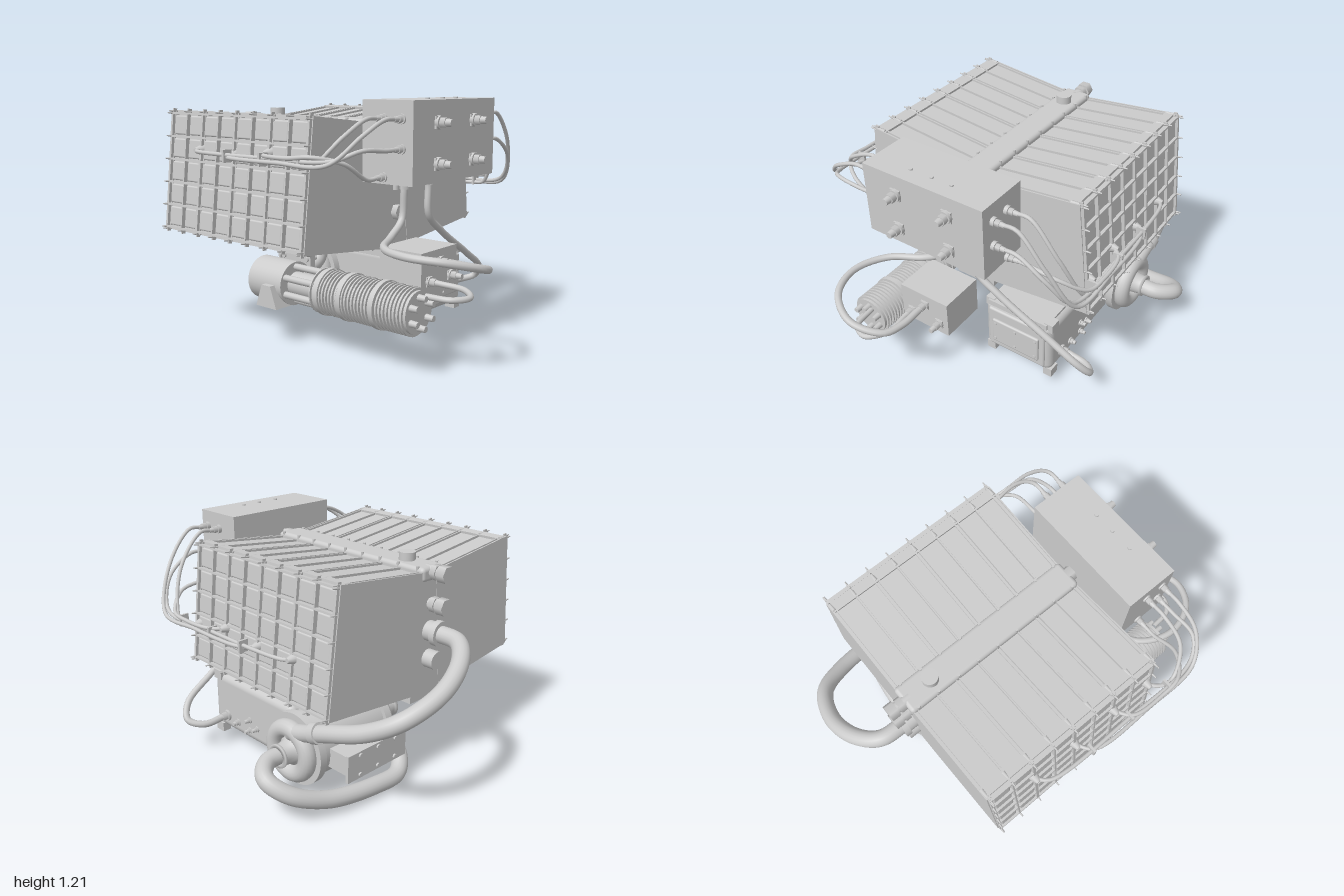
import * as THREE from 'three';
import { RoundedBoxGeometry } from 'three/addons/geometries/RoundedBoxGeometry.js';

const mat = new THREE.MeshStandardMaterial({ color: 0xcccccc });
const V = (p) => new THREE.Vector3(...p);

function add(parent, name, geo, pos = [0, 0, 0]) {
  const m = new THREE.Mesh(geo, mat);
  m.name = name;
  m.position.set(...pos);
  parent.add(m);
  return m;
}
const box = (p, name, size, pos) => add(p, name, new THREE.BoxGeometry(...size), pos);
const rbox = (p, name, size, pos, r) => add(p, name, new RoundedBoxGeometry(...size, 3, r), pos);

// cylinder between two points, r0 at the start and r1 at the end
function rod(p, name, a, b, r0, r1 = r0, seg = 24) {
  const A = V(a), B = V(b), d = B.clone().sub(A);
  const m = add(p, name, new THREE.CylinderGeometry(r1, r0, d.length(), seg));
  m.position.copy(A).add(B).multiplyScalar(0.5);
  m.quaternion.setFromUnitVectors(new THREE.Vector3(0, 1, 0), d.normalize());
  return m;
}
function hose(p, name, pts, r, seg = 64) {
  const curve = new THREE.CatmullRomCurve3(pts.map(V), false, 'centripetal');
  return add(p, name, new THREE.TubeGeometry(curve, seg, r, r > 0.03 ? 18 : 10));
}
// stepped cable fitting standing on a surface, pointing along dir
function gland(p, name, pos, dir, r, len) {
  const g = new THREE.Group();
  g.name = name;
  const at = (t) => pos.map((v, i) => v + dir[i] * len * t);
  rod(g, 'flange', at(-0.1), at(0.2), r * 1.25, r * 1.25, 16);
  rod(g, 'hexNut', at(0.2), at(0.6), r, r, 6);
  rod(g, 'sleeve', at(0.6), at(1), r * 0.75, r * 0.65, 12);
  p.add(g);
}

// one leaning cell stack: local z points outward, y up
function cellStack(name, turn) {
  const outer = new THREE.Group(), s = new THREE.Group();
  outer.name = name;
  outer.position.set(-0.16, 0, 0.055);
  outer.rotation.y = turn;
  s.position.set(0, 0.47, 0.095);
  s.rotation.x = -0.11;
  outer.add(s);
  const W = 0.96, H = 0.6, D = 0.565, cw = W / 8, rh = 0.58 / 5;
  box(s, 'core', [W - 0.02, H - 0.03, D - 0.02], [0, H / 2, D / 2]);
  for (let i = 0; i < 8; i++) {
    const x = -W / 2 + cw * (i + 0.5);
    box(s, 'cellModule', [cw - 0.014, H - 0.012, D - 0.01], [x, H / 2, D / 2]);
    for (let j = 0; j < 5; j++)
      rbox(s, 'cellEnd', [cw - 0.026, rh - 0.02, 0.02], [x, 0.01 + rh * (j + 0.5), D - 0.004], 0.008);
  }
  // column ribs, with rails running along the top and bottom
  for (let i = 0; i <= 8; i++) {
    const x = -W / 2 + cw * i;
    box(s, 'columnRib', [i % 2 ? 0.008 : 0.014, H + 0.01, 0.02], [x, H / 2, D + 0.005]);
    for (const dx of i % 2 ? [0] : [-0.009, 0.009])
      box(s, 'railPair', [0.007, H + 0.008, D], [x + dx, H / 2, D / 2]);
    for (const y of [0, H]) {
      rod(s, 'edgePin', [x, y, D - 0.05], [x, y, D + 0.035], 0.011, 0.003, 8);
      box(s, 'edgeTab', [0.008, 0.03, 0.02], [x, y, D]);
    }
  }
  // row ribs, with ledges along both sides
  for (let j = 0; j <= 5; j++) {
    const y = 0.01 + rh * j;
    box(s, 'rowRib', [W + 0.012, 0.01, 0.02], [0, y, D + 0.005]);
    for (const sx of [-1, 1]) {
      box(s, 'sideLedge', [0.012, 0.012, D], [sx * (W / 2 + 0.002), y, D / 2]);
      rod(s, 'sidePin', [sx * W / 2, y, D - 0.04], [sx * (W / 2 + 0.004), y, D + 0.04], 0.011, 0.003, 8);
    }
  }
  for (const y of [0, H]) box(s, 'endBand', [W + 0.008, 0.012, 0.05], [0, y, D - 0.035]);
  return outer;
}

function manifold() {
  const g = new THREE.Group();
  g.name = 'centralManifold';
  const sh = new THREE.Shape([[-0.115, 0.43], [0.115, 0.43], [0.115, 0.49], [0.04, 1.06], [-0.04, 1.06], [-0.115, 0.49]]
    .map((q) => new THREE.Vector2(...q)));
  const body = add(g, 'wedgeBody', new THREE.ExtrudeGeometry(sh, { depth: 0.98, bevelEnabled: false }), [-0.65, 0, 0.055]);
  body.rotation.y = Math.PI / 2;
  rbox(g, 'topBar', [1.0, 0.07, 0.15], [-0.16, 1.06, 0.055], 0.02);
  rod(g, 'topCap', [-0.5, 1.08, 0.055], [-0.5, 1.135, 0.055], 0.04);
  for (let i = 0; i < 9; i++) for (const s of [-1, 1])
    rod(g, 'barBolt', [-0.62 + i * 0.115, 1.05, 0.055 + s * 0.068], [-0.62 + i * 0.115, 1.1, 0.055 + s * 0.068], 0.008, 0.008, 6);
  for (const y of [1.07, 0.915]) {
    rod(g, 'portNeck', [-0.62, y, 0.055], [-0.7, y, 0.055], 0.028);
    rod(g, 'portNut', [-0.66, y, 0.055], [-0.69, y, 0.055], 0.038, 0.038, 6);
    rod(g, 'portHex', [-0.7, y, 0.055], [-0.745, y, 0.055], 0.042, 0.042, 6);
  }
  rod(g, 'hosePort', [-0.6, 0.78, 0.055], [-0.72, 0.78, 0.055], 0.05);
  rod(g, 'hosePortFlange', [-0.695, 0.78, 0.055], [-0.725, 0.78, 0.055], 0.062);
  rod(g, 'lowerPort', [-0.6, 0.64, 0.055], [-0.71, 0.64, 0.055], 0.045);
  for (const y of [0.64, 1.06]) rod(g, 'endHex', [0.3, y, 0.055], [0.362, y, 0.055], 0.04, 0.04, 6);
  for (let i = 0; i < 8; i++)
    for (const s of [-1, 1]) rod(g, 'footBolt', [-0.6 + i * 0.125, 0.46, 0.055], [-0.6 + i * 0.125, 0.46, 0.055 + s * 0.125], 0.01, 0.01, 6);
  return g;
}

function powerBox() {
  const g = new THREE.Group();
  g.name = 'powerBox';
  box(g, 'housing', [0.28, 0.37, 0.67], [0.54, 1.015, 0.063]);
  for (const z of [0.21, -0.08]) for (const y of [1.1, 0.915]) {
    box(g, 'socketPlate', [0.012, 0.056, 0.056], [0.683, y, z]);
    gland(g, 'socket', [0.685, y, z], [1, 0, 0], 0.025, 0.07);
  }
  for (const z of [0.18, 0.06, -0.05]) rod(g, 'lidBolt', [0.6, 1.19, z], [0.6, 1.207, z], 0.01, 0.01, 8);
  for (const z of [0.28, 0.03]) rod(g, 'drainPlug', [0.5, 0.84, z], [0.5, 0.79, z], 0.014, 0.014, 10);
  for (const z of [0.16, -0.04]) gland(g, 'bottomGland', [0.46, 0.83, z], [0, -1, 0], 0.024, 0.09);
  // cables from both ends of the box to the outer face of each stack
  const ports = [[0.52, 1.12], [0.62, 1.12], [0.62, 0.99], [0.52, 0.86]];
  for (const s of [1, -1]) {
    const tapY = s > 0 ? 0.94 : 0.74, zc = 0.055, Z = (d) => zc + s * d;
    const face = s > 0 ? 0.625 : 0.645;
    ports.forEach(([x, y], i) => {
      gland(g, 'cableGland', [x, y, Z(0.34)], [0, 0, s], 0.018, 0.06);
      const tx = [0.3, -0.16, -0.405, 0.08][i], ty = tapY + (i - 1.5) * 0.012, dz = 0.685 + (i % 2) * 0.02;
      const pts = [[x, y, Z(0.38)], [x, y, Z(0.46)], [x - 0.01, (y + ty) / 2 + 0.03, Z(0.6)], [x - 0.1, ty + 0.01, Z(dz)]];
      if (tx < 0.2) pts.push([(x + tx) / 2, ty, Z(dz + 0.015)]);
      pts.push([tx + 0.06, ty, Z(dz)], [tx + 0.01, ty, Z(face + 0.02)], [tx, ty, Z(face - 0.02)]);
      hose(g, 'stackCable', pts, 0.01, 60);
      rod(g, 'cableLug', [tx, ty, Z(face - 0.02)], [tx, ty, Z(face + 0.03)], 0.03, 0.012, 10);
    });
    for (const x of [-0.12, 0.12, 0.36]) box(g, 'cableClip', [0.012, 0.06, 0.05], [x, tapY, Z(0.695)]);
  }
  return g;
}

function controlBox() {
  const g = new THREE.Group();
  g.name = 'controlBox';
  box(g, 'housing', [0.24, 0.2, 0.29], [0.53, 0.41, 0.135]);
  for (const [y, z] of [[0.45, 0.13], [0.37, 0.22], [0.37, 0.045]]) {
    box(g, 'socketPlate', [0.01, 0.045, 0.045], [0.652, y, z]);
    gland(g, 'socket', [0.65, y, z], [1, 0, 0], 0.02, 0.07);
  }
  hose(g, 'supplyCable', [[0.46, 0.78, 0.16], [0.455, 0.63, 0.17], [0.47, 0.565, 0.27], [0.56, 0.55, 0.44], [0.73, 0.55, 0.515],
    [0.9, 0.54, 0.46], [0.98, 0.5, 0.31], [0.92, 0.46, 0.16], [0.82, 0.45, 0.13], [0.7, 0.45, 0.13]], 0.018);
  hose(g, 'pumpCable', [[0.7, 0.37, 0.22], [0.84, 0.365, 0.22], [0.92, 0.36, 0.3], [0.88, 0.36, 0.38], [0.76, 0.36, 0.4]], 0.014);
  return g;
}

// pump with a finned motor lying along x
function pump() {
  const g = new THREE.Group(), y = 0.29, z = 0.43;
  g.name = 'coolantPump';
  const disc = (name, a, b, r, seg = 32) => rod(g, name, [a, y, z], [b, y, z], r, r, seg);
  disc('pumpHead', -0.23, 0, 0.11);
  disc('neck', 0, 0.2, 0.06);
  for (let i = 0; i < 6; i++) {
    const a = (i * Math.PI) / 3, c = Math.cos(a) * 0.085, s = Math.sin(a) * 0.085;
    rod(g, 'tieRod', [-0.01, y + c, z + s], [0.2, y + c, z + s], 0.017, 0.017, 10);
    rod(g, 'endTerminal', [0.73, y + c * 0.8, z + s * 0.8], [0.785, y + c * 0.8, z + s * 0.8], 0.017, 0.014, 10);
  }
  disc('motorCore', 0.19, 0.745, 0.098);
  for (let i = 0; i < 28; i++) disc('coolingFin', 0.19 + i * 0.0198, 0.197 + i * 0.0198, 0.11);
  for (const x of [0.22, 0.36, 0.55]) disc('motorBand', x, x + 0.025, 0.115);
  const wedge = new THREE.Shape([[-0.07, 0], [0.07, 0], [0.03, 0.11], [-0.03, 0.11]].map((q) => new THREE.Vector2(...q)));
  add(g, 'mountFoot', new THREE.ExtrudeGeometry(wedge, { depth: 0.14, bevelEnabled: false }), [-0.07, 0.185, 0.43]);
  // flange and elbow back to the manifold
  box(g, 'outletFlange', [0.2, 0.25, 0.035], [-0.1, 0.295, 0.31]);
  for (const dx of [-0.08, 0.08]) for (const dy of [-0.1, 0.1])
    rod(g, 'flangeBolt', [-0.1 + dx, y + dy, 0.27], [-0.1 + dx, y + dy, 0.34], 0.013, 0.013, 6);
  hose(g, 'outletElbow', [[-0.16, 0.3, 0.33], [-0.16, 0.29, 0.2], [-0.16, 0.33, 0.1], [-0.16, 0.45, 0.055]], 0.04, 30);
  rod(g, 'outletCone', [-0.16, 0.4, 0.055], [-0.16, 0.48, 0.055], 0.045, 0.085);
  return g;
}

// two-ended compressor on a z axis, with its drive housing beside it
function compressor() {
  const g = new THREE.Group(), x = -0.32, y = 0.23;
  g.name = 'airCompressor';
  const turn = (name, prof, z, dir) => {
    const m = add(g, name, new THREE.LatheGeometry(prof.map((q) => new THREE.Vector2(...q)), 40), [x, y, z]);
    m.rotation.x = (dir * Math.PI) / 2;
  };
  rod(g, 'motorBody', [x, y, -0.02], [x, y, -0.48], 0.165, 0.165, 40);
  for (const z of [-0.03, -0.49]) rod(g, 'bodyFlange', [x, y, z - 0.02], [x, y, z + 0.02], 0.185, 0.185, 40);
  const inlet = [[0.12, 0], [0.1, 0.05], [0.06, 0.07], [0.052, 0.17], [0.06, 0.175], [0.06, 0.195], [0.04, 0.195], [0.035, 0.06], [0, 0.06]];
  turn('frontInlet', inlet, -0.02, 1);
  turn('rearInlet', inlet.map(([r, h]) => [r, h * 0.6]), -0.5, -1);
  for (const z of [0.0, -0.53]) add(g, 'volute', new THREE.TorusGeometry(0.115, 0.045, 16, 40), [x, y, z]);
  rbox(g, 'driveHousing', [0.63, 0.31, 0.4], [0.085, 0.235, -0.25], 0.04);
  box(g, 'housingLid', [0.55, 0.03, 0.35], [0.125, 0.385, -0.25]);
  rbox(g, 'endPanel', [0.03, 0.25, 0.34], [0.395, 0.235, -0.25], 0.012);
  rbox(g, 'endCover', [0.02, 0.15, 0.28], [0.412, 0.225, -0.25], 0.009);
  for (const z of [-0.08, -0.43]) for (const yy of [0.07, 0.38]) box(g, 'mountLug', [0.06, 0.05, 0.05], [0.36, yy, z]);
  box(g, 'sideBlock', [0.14, 0.1, 0.36], [-0.54, 0.215, -0.25]);
  box(g, 'sidePlate', [0.016, 0.14, 0.4], [-0.615, 0.215, -0.25]);
  for (const z of [-0.37, -0.25, -0.13]) for (const dy of [-0.05, 0.05]) {
    rod(g, 'sideBolt', [-0.61, 0.215 + dy, z], [-0.632, 0.215 + dy, z], 0.012, 0.012, 8);
    rod(g, 'coverBolt', [0.41, 0.225 + dy, z], [0.428, 0.225 + dy, z], 0.009, 0.009, 8);
  }
  for (const [gx, gy, r] of [[0.29, 0.16, 0.024], [0.2, 0.15, 0.016], [0.1, 0.2, 0.014], [0.1, 0.14, 0.014], [0.04, 0.17, 0.014]])
    gland(g, 'housingGland', [gx, gy, -0.45], [0, 0, -1], r, r > 0.02 ? 0.07 : 0.035);
  hose(g, 'driveCable', [[0.46, 0.78, -0.04], [0.46, 0.63, -0.045], [0.45, 0.52, -0.18], [0.43, 0.36, -0.45], [0.41, 0.25, -0.62],
    [0.36, 0.18, -0.66], [0.3, 0.155, -0.6], [0.29, 0.16, -0.48]], 0.018);
  // large air hoses
  hose(g, 'airSupplyHose', [[-0.7, 0.78, 0.055], [-0.83, 0.775, 0.04], [-0.92, 0.73, -0.06], [-0.958, 0.65, -0.23], [-0.9, 0.56, -0.41],
    [-0.76, 0.48, -0.49], [-0.55, 0.41, -0.53], [-0.42, 0.36, -0.53], [-0.32, 0.33, -0.53]], 0.042, 90);
  rod(g, 'hoseClamp', [-0.52, 0.4, -0.53], [-0.48, 0.385, -0.53], 0.052);
  hose(g, 'crossoverHose', [[-0.32, 0.23, -0.55], [-0.32, 0.225, -0.68], [-0.4, 0.2, -0.755], [-0.5, 0.14, -0.7], [-0.57, 0.075, -0.53],
    [-0.61, 0.045, -0.25], [-0.605, 0.045, -0.08], [-0.55, 0.1, -0.01], [-0.46, 0.2, 0], [-0.42, 0.27, 0]], 0.043, 90);
  return g;
}

export function createModel() {
  const model = new THREE.Group();
  model.name = 'fuelCellSystem';
  model.add(cellStack('frontStack', 0), cellStack('rearStack', Math.PI),
    manifold(), powerBox(), controlBox(), pump(), compressor());
  return model;
}
